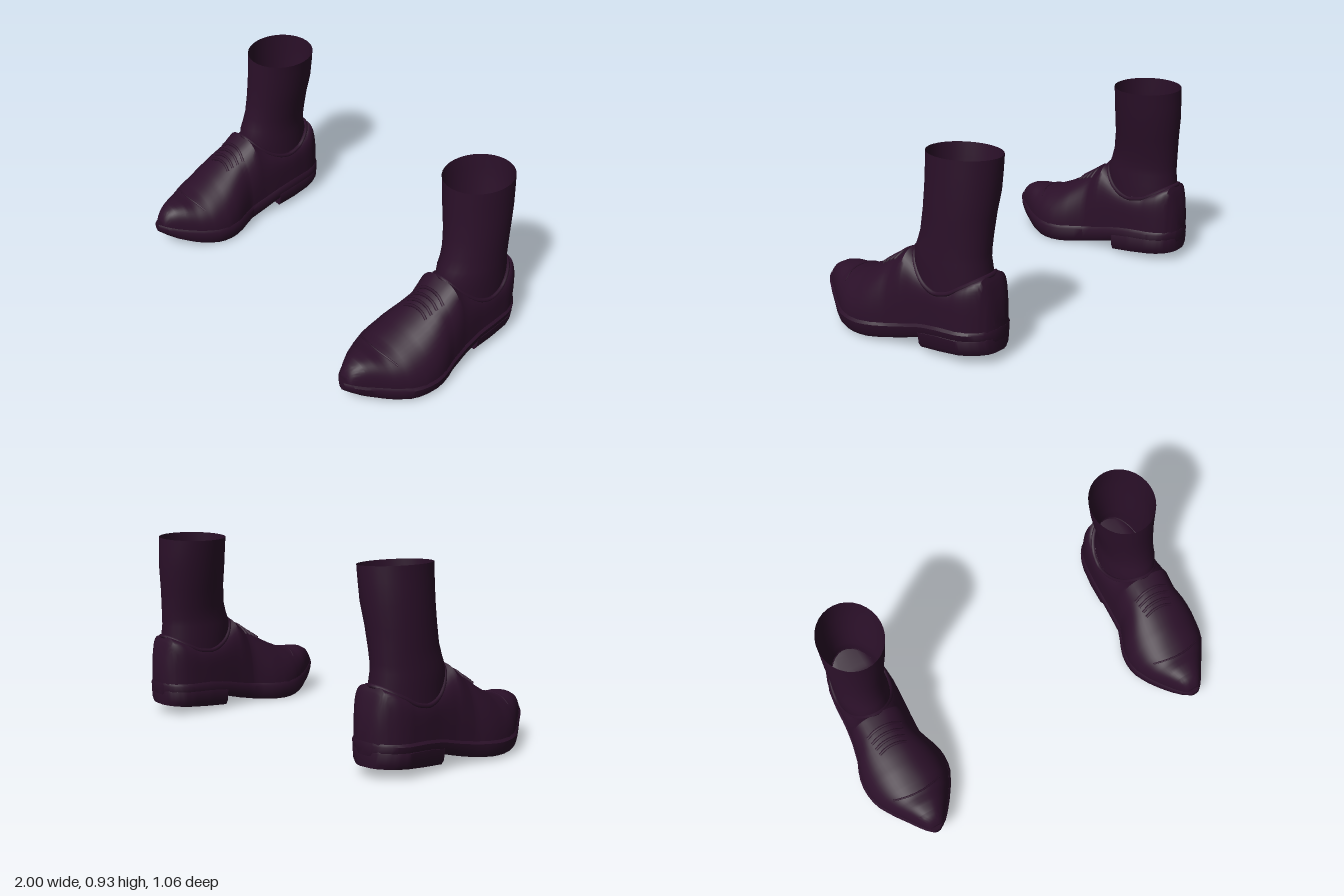
import * as THREE from 'three';
import { toCreasedNormals } from 'three/addons/utils/BufferGeometryUtils.js';

const leather = new THREE.MeshStandardMaterial({ color: 0x2b1029, side: THREE.DoubleSide });
leather.name = 'dark plum';

// Tables along the foot: [z, value...]
const OUTLINE = [ // inner edge, outer edge
  [-0.528, 0.72, 0.81], [-0.515, 0.685, 0.85], [-0.49, 0.65, 0.88], [-0.45, 0.625, 0.91],
  [-0.4, 0.612, 0.928], [-0.3, 0.602, 0.936], [-0.2, 0.602, 0.936], [-0.1, 0.605, 0.945],
  [0, 0.605, 0.965], [0.06, 0.583, 0.988], [0.12, 0.557, 1.0], [0.2, 0.547, 0.995],
  [0.26, 0.557, 0.977], [0.33, 0.588, 0.935], [0.4, 0.63, 0.885], [0.46, 0.672, 0.845],
  [0.5, 0.705, 0.815], [0.528, 0.742, 0.785]];
const SOLE_TOP = [[-0.53, 0.168], [-0.3, 0.16], [-0.2, 0.147], [-0.1, 0.122], [0, 0.103],
  [0.15, 0.092], [0.25, 0.095], [0.35, 0.108], [0.45, 0.13], [0.53, 0.155]];
const SOLE_BOTTOM = [[-0.53, 0.1], [-0.19, 0.062], [-0.1, 0.036], [0, 0.013], [0.1, 0.002],
  [0.2, 0], [0.28, 0.007], [0.36, 0.022], [0.45, 0.055], [0.53, 0.1]];
const HEEL_BOTTOM = [[-0.53, 0.046], [-0.19, 0.014]];
const CREST = [[-0.527, 0.22], [-0.522, 0.28], [-0.51, 0.335], [-0.498, 0.38], [-0.485, 0.408],
  [-0.43, 0.385], [-0.36, 0.357], [-0.28, 0.347], [-0.22, 0.357], [-0.15, 0.392], [-0.1, 0.434],
  [-0.07, 0.458], [0, 0.405], [0.1, 0.34], [0.2, 0.288], [0.28, 0.254], [0.34, 0.24],
  [0.4, 0.242], [0.44, 0.235], [0.475, 0.217], [0.495, 0.195], [0.507, 0.17]];
const BOXINESS = [[-0.53, 3], [-0.45, 5], [-0.25, 5.5], [-0.1, 3.2], [0, 2.5], [0.2, 2.1], [0.38, 2.5], [0.51, 2.6]];

function at(table, z, k = 1) {
  let i = 0;
  while (i < table.length - 2 && z > table[i + 1][0]) i++;
  const a = table[i], b = table[i + 1];
  const t = THREE.MathUtils.clamp((z - a[0]) / (b[0] - a[0]), 0, 1);
  return a[k] + (b[k] - a[k]) * t;
}

// Stations from z0 to z1, packed closer at both ends
function stations(z0, z1, n) {
  return Array.from({ length: n + 1 }, (_, i) =>
    (z0 + z1) / 2 - (z1 - z0) / 2 * Math.cos(Math.PI * i / n));
}

// Skin a list of equal rings; side = -1 mirrors the part in x
function loft(rings, side, caps = true) {
  const n = rings[0].length, pos = [], idx = [];
  const tri = (a, b, c) => side > 0 ? idx.push(a, b, c) : idx.push(a, c, b);
  rings.flat().forEach(([x, y, z]) => pos.push(x * side, y, z));
  for (let i = 0; i < rings.length - 1; i++) {
    for (let j = 0; j < n; j++) {
      const a = i * n + j, b = i * n + (j + 1) % n;
      tri(a, b, b + n);
      tri(a, b + n, a + n);
    }
  }
  if (caps) {
    [0, rings.length - 1].forEach((r, end) => {
      const c = pos.length / 3, mid = [0, 0, 0];
      rings[r].forEach(p => p.forEach((v, k) => { mid[k] += v / n; }));
      pos.push(mid[0] * side, mid[1], mid[2]);
      for (let j = 0; j < n; j++) {
        const a = r * n + j, b = r * n + (j + 1) % n;
        if (end) tri(c, a, b); else tri(c, b, a);
      }
    });
  }
  const g = new THREE.BufferGeometry();
  g.setAttribute('position', new THREE.Float32BufferAttribute(pos, 3));
  g.setIndex(idx);
  return toCreasedNormals(g, 0.75);
}

// Slab that follows the foot outline, between a bottom and a top table
function slab(z0, z1, bottom, top, inset, side) {
  return loft(stations(z0, z1, 36).map(z => {
    const l = at(OUTLINE, z) + inset, r = at(OUTLINE, z, 2) - inset;
    const b = at(bottom, z), t = at(top, z), h = t - b;
    const roll = x => 0.035 * (x - 0.55); // outer edge sits slightly higher
    return [[r - 0.02, b], [r - 0.006, b + 0.25 * h], [r, t - 0.015], [r - 0.01, t],
      [l + 0.01, t], [l, t - 0.015], [l + 0.006, b + 0.25 * h], [l + 0.02, b]]
      .map(([x, y]) => [x, y + roll(x) * (t - y) / h, z]);
  }), side);
}

// Cross-section of the upper at z
function section(z) {
  const l = at(OUTLINE, z) + 0.01, r = at(OUTLINE, z, 2) - 0.01;
  const base = at(SOLE_TOP, z) - 0.02;
  return { cx: (l + r) / 2, hw: (r - l) / 2, base, h: at(CREST, z) - base, n: at(BOXINESS, z) };
}
function upperY(x, z) {
  const s = section(z), u = Math.min(1, Math.abs(x - s.cx) / s.hw);
  return s.base + s.h * Math.pow(1 - Math.pow(u, s.n), 1 / s.n);
}
function upper(side) {
  const zs = [...new Set([...stations(-0.527, 0.507, 44), ...CREST.map(c => c[0])])].sort((a, b) => a - b)
    .filter((z, i, all) => i === 0 || z - all[i - 1] > 0.0008);
  return loft(zs.map(z => {
    const s = section(z), ring = [];
    for (let i = 0; i <= 28; i++) {
      const a = Math.PI * i / 28, c = Math.cos(a), e = 2 / s.n;
      ring.push([s.cx + s.hw * Math.sign(c) * Math.pow(Math.abs(c), e),
        s.base + s.h * Math.pow(Math.max(0, Math.sin(a)), e), z]);
    }
    return ring;
  }), side);
}

// Thin cord laid on the upper through [x, z] points
function cord(points, radius, lift, side, closed = false) {
  const curve = new THREE.CatmullRomCurve3(
    points.map(([x, z]) => new THREE.Vector3(x * side, upperY(x, z) + lift, z)), closed);
  return new THREE.TubeGeometry(curve, closed ? 64 : 20, radius, 6, closed);
}

// Open sock: [y, centre x, radius x, centre z, radius z]
const SOCK = [[0.3, 0.775, 0.135, -0.272, 0.2], [0.4, 0.775, 0.135, -0.272, 0.203],
  [0.46, 0.776, 0.132, -0.27, 0.196], [0.5, 0.775, 0.13, -0.279, 0.188], [0.56, 0.77, 0.132, -0.29, 0.18],
  [0.66, 0.76, 0.142, -0.3, 0.176], [0.76, 0.747, 0.151, -0.308, 0.18],
  [0.85, 0.739, 0.156, -0.31, 0.18], [0.922, 0.733, 0.16, -0.31, 0.179]];
function sock(side) {
  return loft(SOCK.map(([y, cx, rx, cz, rz], i) => Array.from({ length: 32 }, (_, j) => {
    const a = Math.PI * 2 * j / 32;
    const wave = i === SOCK.length - 1 ? 0.008 * Math.cos(a) : 0;
    return [cx + rx * Math.cos(a), y + wave, cz - rz * Math.sin(a)];
  })), side, false);
}

function createShoe(side) {
  const shoe = new THREE.Group();
  shoe.name = side > 0 ? 'leftShoe' : 'rightShoe';
  const add = (name, geometry) => {
    const mesh = new THREE.Mesh(geometry, leather);
    mesh.name = name;
    shoe.add(mesh);
  };
  add('sole', slab(-0.528, 0.528, SOLE_BOTTOM, SOLE_TOP, 0, side));
  add('heel', slab(-0.525, -0.19, HEEL_BOTTOM, SOLE_TOP.map(([z, y]) => [z, y - 0.03]), 0.003, side));
  add('upper', upper(side));
  add('sock', sock(side));

  // Padded rim around the ankle
  const rim = Array.from({ length: 32 }, (_, i) => {
    const a = Math.PI * 2 * i / 32;
    return [0.773 + 0.14 * Math.cos(a), -0.277 + 0.205 * Math.sin(a)];
  });
  add('collar', cord(rim, 0.011, -0.002, side, true));

  // Laces
  [-0.01, 0.022, 0.052, 0.08].forEach((z, i) => {
    const w = 0.092 - i * 0.006;
    const row = [-1, -0.5, 0, 0.5, 1].map(u => [0.775 + u * w, z + 0.012 * u * u]);
    add('lace', cord(row, 0.008, 0.003, side));
  });

  // Curved toe seam
  const seam = [-1, -0.6, -0.2, 0.2, 0.6, 1].map(u => [0.763 + u * 0.13, 0.33 - 0.03 * u * u]);
  add('toeSeam', cord(seam, 0.005, 0, side));
  return shoe;
}

export function createModel() {
  const model = new THREE.Group();
  model.name = 'pairOfShoes';
  [1, -1].forEach(side => model.add(createShoe(side)));
  return model;
}
